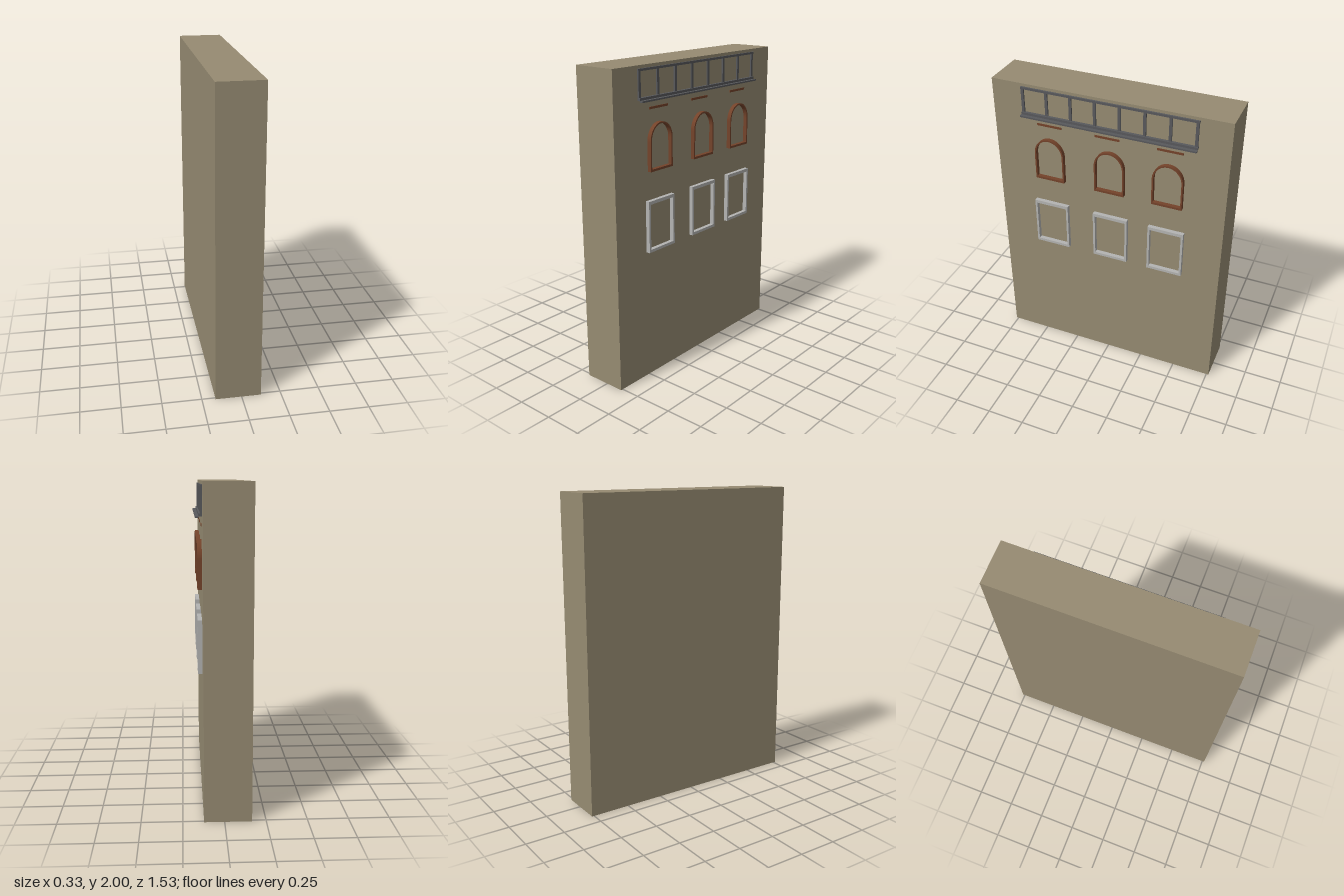
import * as THREE from 'three';

const material = (color) => new THREE.MeshStandardMaterial({ color });
const wallMat = material(0x968b72);
const brownMat = material(0x74432a);
const frameMat = material(0xb4b4b2);
const ironMat = material(0x58595c);
const FACE = 0.123; // outer face of the wall

// Box given by its limits on each axis
function box(name, mat, [x0, x1], [y0, y1], [z0, z1]) {
  const mesh = new THREE.Mesh(new THREE.BoxGeometry(x1 - x0, y1 - y0, z1 - z0), mat);
  mesh.position.set((x0 + x1) / 2, (y0 + y1) / 2, (z0 + z1) / 2);
  mesh.name = name;
  return mesh;
}

// Extrudes an outline with a hole outwards from the wall, centred on z
function surround(name, mat, outer, hole, depth, y, z) {
  outer.holes.push(hole);
  const geometry = new THREE.ExtrudeGeometry(outer, { depth, bevelEnabled: false, curveSegments: 20 });
  const mesh = new THREE.Mesh(geometry, mat);
  mesh.rotation.y = Math.PI / 2;
  mesh.position.set(FACE, y, z);
  mesh.name = name;
  return mesh;
}

function rectangle(path, halfWidth, bottom, top) {
  path.moveTo(-halfWidth, bottom);
  path.lineTo(halfWidth, bottom);
  path.lineTo(halfWidth, top);
  path.lineTo(-halfWidth, top);
  path.closePath();
  return path;
}

function arch(path, halfWidth, bottom, spring, rise) {
  path.moveTo(-halfWidth, bottom);
  path.lineTo(halfWidth, bottom);
  path.lineTo(halfWidth, spring);
  path.absellipse(0, spring, halfWidth, rise, 0, Math.PI, false);
  path.closePath();
  return path;
}

export function createModel() {
  const model = new THREE.Group();
  model.name = 'facade';
  model.add(box('wall', wallMat, [-0.165, FACE], [0, 2], [-0.765, 0.765]));

  // Square window surrounds
  for (const z of [0.391, -0.024, -0.402]) {
    model.add(surround('windowFrame', frameMat,
      rectangle(new THREE.Shape(), 0.118, 0, 0.33),
      rectangle(new THREE.Path(), 0.104, 0.018, 0.309), 0.027, 0.851, z));
  }

  // Arched window surrounds
  for (const z of [0.388, -0.019, -0.4]) {
    model.add(surround('archedFrame', brownMat,
      arch(new THREE.Shape(), 0.099, 0, 0.183, 0.11),
      arch(new THREE.Path(), 0.089, 0.014, 0.183, 0.1), 0.027, 1.362, z));
  }

  // Narrow ledges above the arches
  for (const z of [0.386, 0, -0.402]) {
    model.add(box('ledge', brownMat, [FACE - 0.01, 0.127], [1.736, 1.75], [z - 0.082, z + 0.082]));
  }

  // Iron balcony railing
  const railing = new THREE.Group();
  railing.name = 'railing';
  const span = [-0.57, 0.566];
  railing.add(box('topRail', ironMat, [FACE, 0.134], [1.967, 1.981], span));
  railing.add(box('bottomRail', ironMat, [FACE, 0.142], [1.798, 1.815], span));
  railing.add(box('outerRail', ironMat, [0.142, 0.163], [1.79, 1.8], span));
  for (let i = 0; i < 8; i++) {
    const z = 0.555 - i * 0.159;
    railing.add(box('post', ironMat, [FACE, 0.133], [1.8, 1.975], [z - 0.009, z + 0.009]));
  }
  model.add(railing);
  return model;
}
